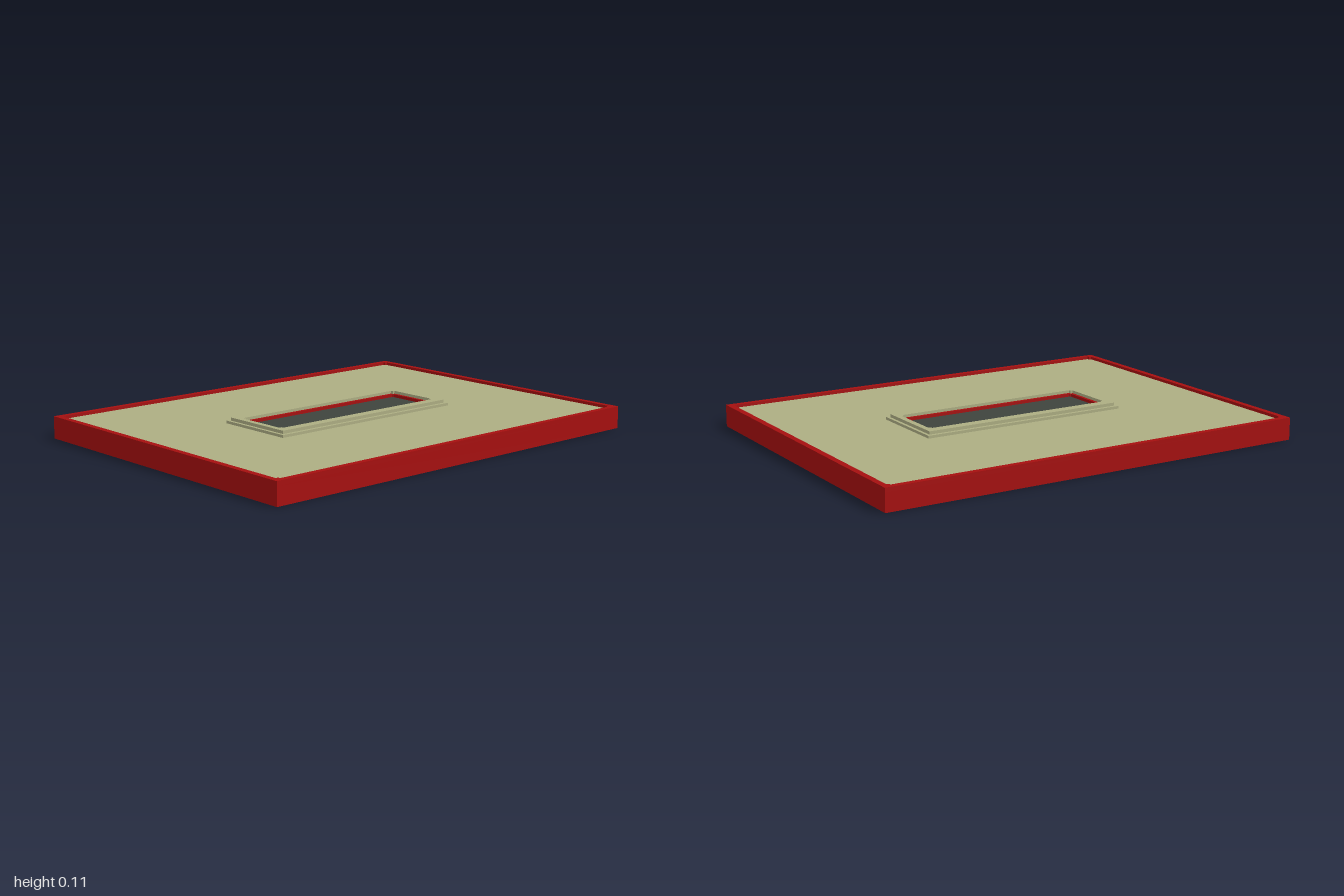
import * as THREE from 'three';

// Rectangle outline with half sizes x, z; "notch" cuts a small square out of each corner
function outline(path, x, z, notch = 0) {
  const quarter = notch
    ? [[x, z - notch], [x - notch, z - notch], [x - notch, z]]
    : [[x, z]];
  const points = [];
  for (const [sx, sz] of [[1, 1], [-1, 1], [-1, -1], [1, -1]]) {
    const corner = quarter.map(([a, b]) => new THREE.Vector2(a * sx, b * sz));
    points.push(...(sx * sz > 0 ? corner : corner.reverse()));
  }
  return path.setFromPoints(points);
}

// Horizontal slab between two heights, with an optional opening
function slab(name, material, bottom, top, outer, inner) {
  const shape = outline(new THREE.Shape(), ...outer);
  if (inner) shape.holes.push(outline(new THREE.Path(), ...inner));
  const geometry = new THREE.ExtrudeGeometry(shape, { depth: top - bottom, bevelEnabled: false });
  geometry.rotateX(-Math.PI / 2).translate(0, bottom, 0);
  const mesh = new THREE.Mesh(geometry, material);
  mesh.name = name;
  return mesh;
}

function paint(name, color) {
  const material = new THREE.MeshStandardMaterial({ color });
  material.name = name;
  return material;
}

export function createModel() {
  const red = paint('red', 0xa50f0f);
  const cream = paint('cream', 0xacad82);
  const dark = paint('darkGrey', 0x3e433d);

  const group = new THREE.Group();
  group.name = 'roofPanel';

  const opening = [0.13, 0.45, 0.012];
  const floor = 0.087;

  group.add(
    // Base tray with a raised rim
    slab('base', red, 0, 0.08, [0.76, 1]),
    slab('rim', red, 0.08, 0.1, [0.76, 1], [0.733, 0.973, 0.012]),
    // Recessed panel with a two-step surround
    slab('panel', cream, 0.08, floor, [0.733, 0.973, 0.012], opening),
    slab('lowerStep', cream, floor, 0.099, [0.19, 0.49], opening),
    slab('upperStep', cream, 0.099, 0.113, [0.174, 0.476], opening),
    // Window in the opening
    slab('windowFrame', red, 0.08, 0.1, opening, [0.115, 0.435, 0.006]),
    slab('windowPane', dark, 0.08, floor, [0.115, 0.435, 0.006])
  );
  return group;
}
